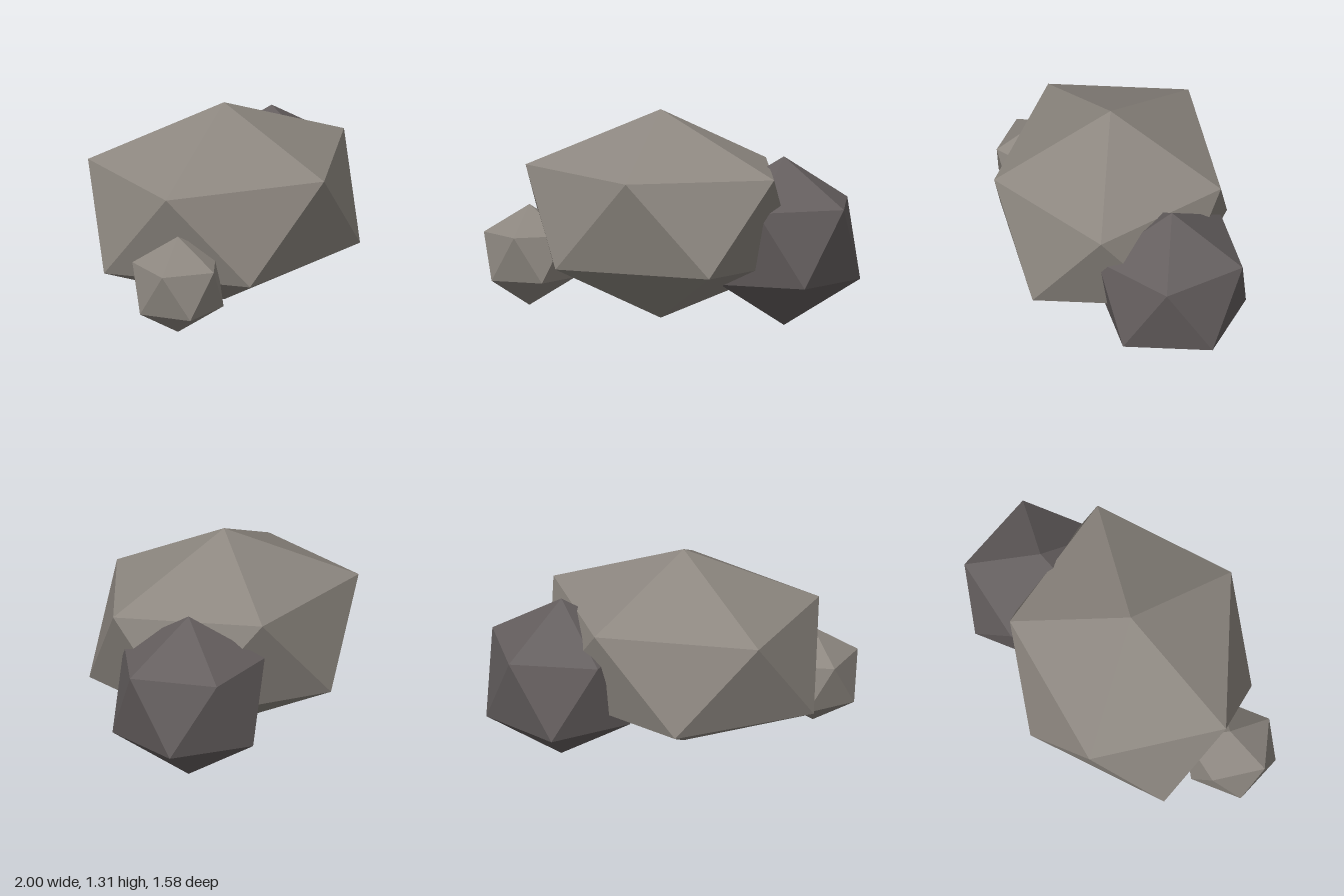
import * as THREE from 'three';

const lightStone = new THREE.MeshStandardMaterial({ color: 0x8d8780, flatShading: true });
lightStone.name = 'light stone';
const darkStone = new THREE.MeshStandardMaterial({ color: 0x655f5f, flatShading: true });
darkStone.name = 'dark stone';

// A faceted boulder: an icosahedron standing on one corner, stretched to its radii
function boulder(name, material, radii, centre) {
  const geometry = new THREE.IcosahedronGeometry(1, 0);
  const goldenRatio = (1 + Math.sqrt(5)) / 2;
  geometry.rotateZ(-Math.atan(1 / goldenRatio)); // bring a corner to the top
  geometry.scale(...radii);
  const mesh = new THREE.Mesh(geometry, material);
  mesh.name = name;
  mesh.position.set(...centre);
  return mesh;
}

export function createModel() {
  const group = new THREE.Group();
  group.name = 'rockCluster';
  group.add(
    boulder('mainBoulder', lightStone, [0.973, 0.637, 0.807], [-0.082, 0.672, 0.06]),
    boulder('backBoulder', darkStone, [0.515, 0.515, 0.515], [0.539, 0.515, -0.353]),
    boulder('smallBoulder', lightStone, [0.308, 0.308, 0.308], [-0.725, 0.417, 0.524]),
  );
  return group;
}
